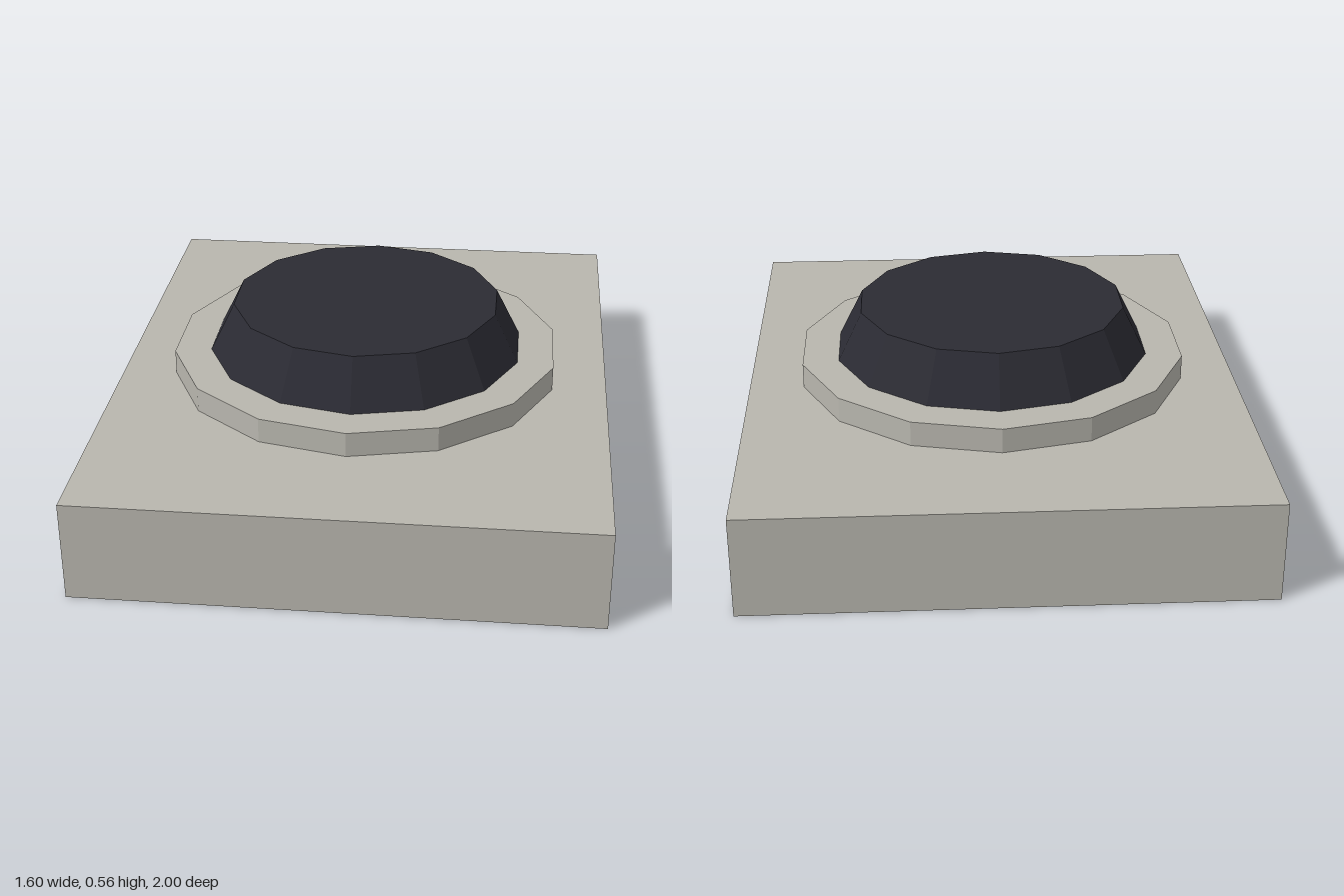
import * as THREE from 'three';

export function createModel() {
  const stone = new THREE.MeshStandardMaterial({ color: 0xb8b6ae });
  stone.name = 'paleGrey';
  const dark = new THREE.MeshStandardMaterial({ color: 0x2b2b33 });
  dark.name = 'darkSlate';
  stone.flatShading = dark.flatShading = true;

  const group = new THREE.Group();
  group.name = 'buttonBlock';

  // Adds a part standing on the given height
  function add(name, geometry, material, bottom, height) {
    const mesh = new THREE.Mesh(geometry, material);
    mesh.name = name;
    mesh.position.y = bottom + height / 2;
    group.add(mesh);
  }

  // Rectangular base slab
  add('base', new THREE.BoxGeometry(1.6, 0.32, 2), stone, 0, 0.32);
  // Fourteen-sided collar
  add('collar', new THREE.CylinderGeometry(0.64, 0.64, 0.08, 14), stone, 0.32, 0.08);
  // Tapered cap
  add('cap', new THREE.CylinderGeometry(0.44, 0.52, 0.16, 14), dark, 0.4, 0.16);

  return group;
}
